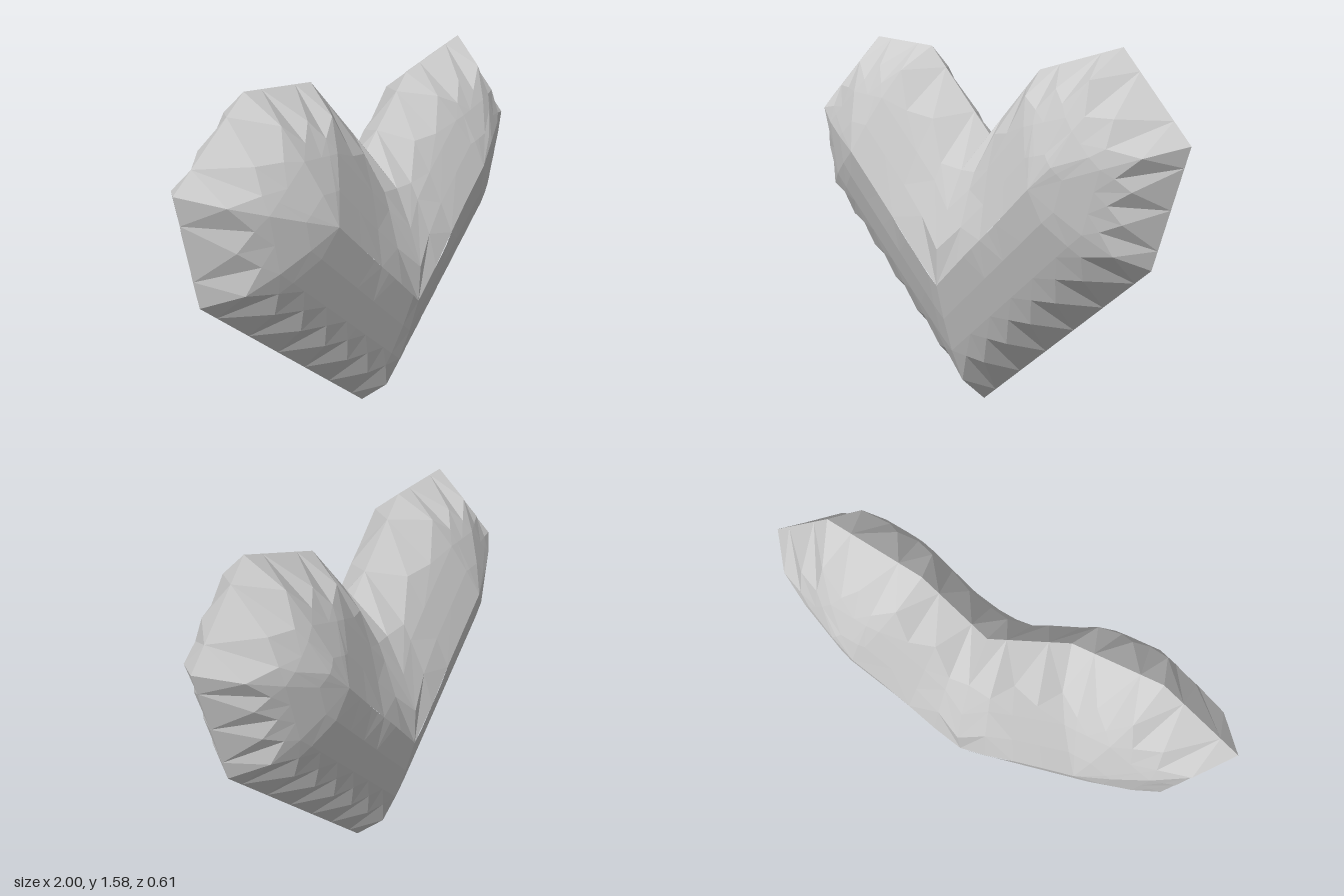
import * as THREE from 'three';

// Heart outline, counter-clockwise from the tip; each corner is tied to a point of the V-shaped spine
const LOW = [0.02, 0.6], LEFT = [0.5, 1.07], RIGHT = [-0.5, 1.1];
const corners = [
  [0.01, 0, LOW], [0.86, 0.77, LEFT], [1, 1.25, LEFT], [0.7, 1.58, LEFT], [0.31, 1.48, LEFT],
  [0.04, 1.2, LOW], [-0.3, 1.55, RIGHT], [-0.65, 1.58, RIGHT], [-1, 1.29, RIGHT], [-0.92, 0.84, RIGHT],
];
const lerp = THREE.MathUtils.lerp;
const next = (i) => corners[(i + 1) % corners.length];

// Shortest distance from a point to the outline
function edgeDistance(x, y) {
  let best = Infinity;
  corners.forEach(([ax, ay], i) => {
    const [bx, by] = next(i);
    const dx = bx - ax, dy = by - ay;
    const t = THREE.MathUtils.clamp(((x - ax) * dx + (y - ay) * dy) / (dx * dx + dy * dy), 0, 1);
    best = Math.min(best, Math.hypot(x - ax - t * dx, y - ay - t * dy));
  });
  return best;
}

// Rounded swelling: half thickness grows with the root of the distance to the rim
const swell = (x, y) => 0.45 * Math.sqrt(edgeDistance(x, y));

// Columns of points running from the rim to the spine; every other one is cut deeper for the toothed rim
function buildColumns() {
  const columns = [];
  corners.forEach(([ax, ay, sa], i) => {
    const [bx, by, sb] = next(i);
    const steps = 2 * Math.max(2, Math.round(Math.hypot(bx - ax, by - ay) / 0.2));
    for (let k = 0; k < steps; k++) {
      const t = k / steps;
      const rx = lerp(ax, bx, t), ry = lerp(ay, by, t);
      const sx = lerp(sa[0], sb[0], t), sy = lerp(sa[1], sb[1], t);
      const rings = [0, k % 2 ? 0.36 : 0.22, 0.48, 0.74, 1];
      columns.push(rings.map((f, r) => {
        const x = lerp(rx, sx, f), y = lerp(ry, sy, f);
        return [x, y, r === 0 ? 0 : swell(x, y)];
      }));
    }
  });
  return columns;
}

// One swollen half, facing +z (side 1) or -z (side -1)
function halfGeometry(columns, side) {
  const pos = [];
  const tri = (a, b, c) => {
    for (const p of side > 0 ? [a, b, c] : [a, c, b]) pos.push(p[0], p[1], p[2] * side);
  };
  columns.forEach((a, i) => {
    const b = columns[(i + 1) % columns.length];
    for (let r = 0; r < a.length - 1; r++) {
      // Mirror the diagonals on alternate columns so the teeth are symmetric
      if (i % 2) {
        tri(a[r], b[r], b[r + 1]);
        tri(a[r], b[r + 1], a[r + 1]);
      } else {
        tri(a[r], b[r], a[r + 1]);
        tri(b[r], b[r + 1], a[r + 1]);
      }
    }
  });
  const geo = new THREE.BufferGeometry();
  geo.setAttribute('position', new THREE.Float32BufferAttribute(pos, 3));
  geo.computeVertexNormals();
  return geo;
}

export function createModel() {
  const group = new THREE.Group();
  group.name = 'heart';
  const material = new THREE.MeshStandardMaterial({ color: 0xcccccc, flatShading: true });
  const columns = buildColumns();
  for (const [name, side] of [['frontHalf', 1], ['backHalf', -1]]) {
    const mesh = new THREE.Mesh(halfGeometry(columns, side), material);
    mesh.name = name;
    group.add(mesh);
  }
  return group;
}
